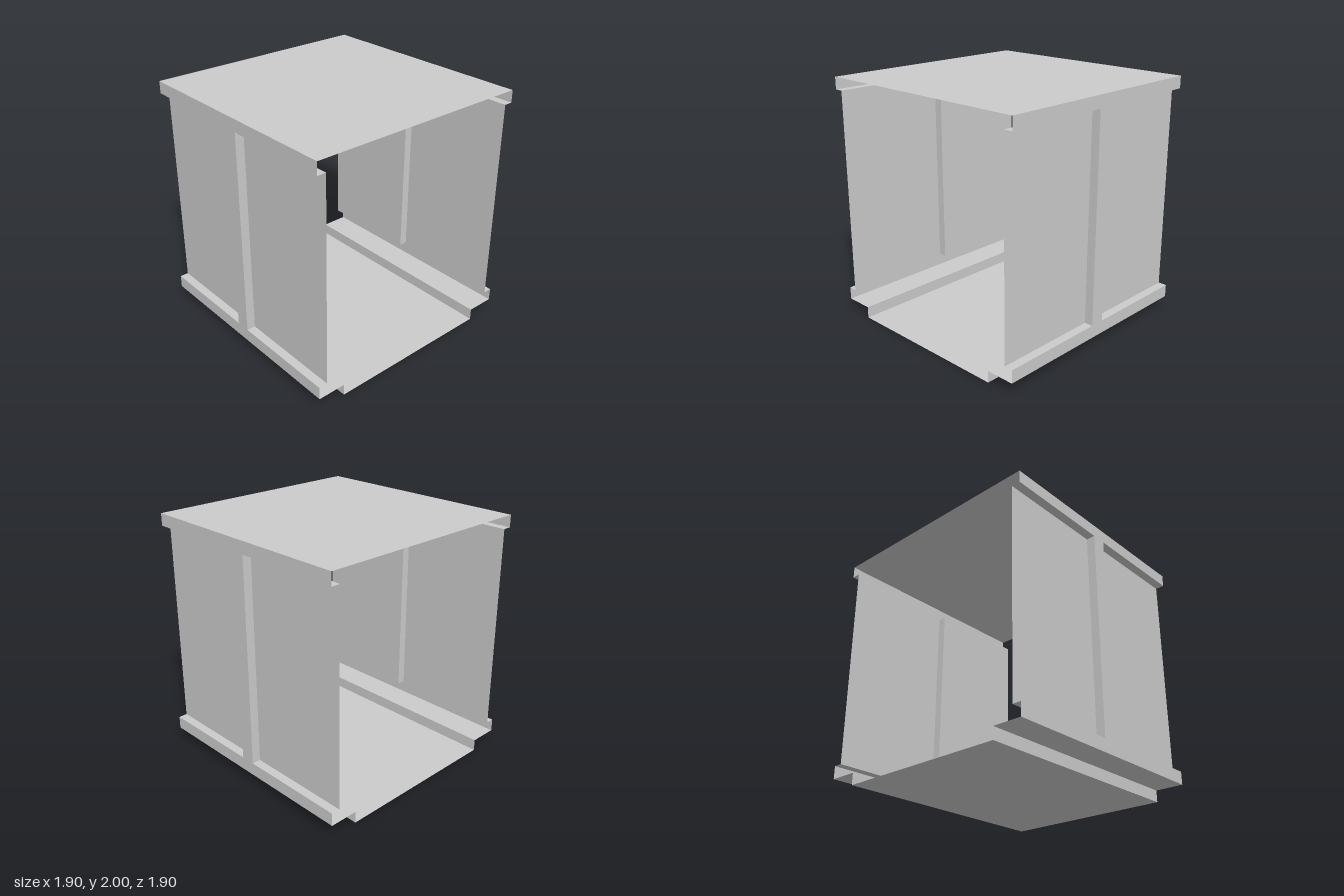
import * as THREE from 'three';

const HALF = 0.952;    // half width and half depth
const INNER = 0.88;    // x of the recessed wall panels
const FLOOR_X = 0.716; // half width of the lowered floor
const POST = 0.06;     // half width of the middle post
const RAIL_LOW = 0.095, BAY_LOW = 0.2, BAY_HIGH = 1.9, TOP = 2;

const material = new THREE.MeshStandardMaterial({ color: 0xcccccc, side: THREE.DoubleSide });

function add(parent, name, geometry) {
  const mesh = new THREE.Mesh(geometry, material);
  mesh.name = name;
  parent.add(mesh);
  return mesh;
}

// Folded sheet: an xy profile swept along z, mirrored in x when side is -1
function foldedSheet(profile, side, z0, z1) {
  const pts = profile.map(([x, y]) => [x * side, y]);
  if (side < 0) pts.reverse();
  const pos = [];
  for (let i = 0; i < pts.length - 1; i++) {
    const a = pts[i], b = pts[i + 1];
    pos.push(...a, z0, ...b, z0, ...b, z1, ...a, z0, ...b, z1, ...a, z1);
  }
  const g = new THREE.BufferGeometry();
  g.setAttribute('position', new THREE.Float32BufferAttribute(pos, 3));
  g.computeVertexNormals();
  return g;
}

// Outer face of a side: two rails joined by the middle post
function frameGeometry(side) {
  const outline = [
    [-HALF, RAIL_LOW], [HALF, RAIL_LOW], [HALF, BAY_LOW], [POST, BAY_LOW],
    [POST, BAY_HIGH], [HALF, BAY_HIGH], [HALF, TOP], [-HALF, TOP],
    [-HALF, BAY_HIGH], [-POST, BAY_HIGH], [-POST, BAY_LOW], [-HALF, BAY_LOW],
  ];
  const shape = new THREE.Shape(outline.map(([z, y]) => new THREE.Vector2(z, y)));
  return new THREE.ShapeGeometry(shape).rotateY(side * Math.PI / 2).translate(side * HALF, 0, 0);
}

export function createModel() {
  const model = new THREE.Group();
  model.name = 'openShell';

  // Roof and lowered floor
  add(model, 'roof', new THREE.PlaneGeometry(2 * HALF, 2 * HALF).rotateX(-Math.PI / 2).translate(0, TOP, 0));
  add(model, 'floor', new THREE.PlaneGeometry(2 * FLOOR_X, 2 * HALF).rotateX(Math.PI / 2));

  for (const side of [1, -1]) {
    const wall = new THREE.Group();
    wall.name = side > 0 ? 'leftWall' : 'rightWall';
    model.add(wall);

    add(wall, 'sideFrame', frameGeometry(side));

    // Step between the floor and the bottom rail
    add(wall, 'floorStep', foldedSheet(
      [[FLOOR_X, 0], [FLOOR_X, RAIL_LOW], [HALF, RAIL_LOW]], side, -HALF, HALF));

    // Recessed bays in front of and behind the post
    const bay = [[HALF, BAY_LOW], [INNER, BAY_LOW], [INNER, BAY_HIGH], [HALF, BAY_HIGH]];
    for (const end of [1, -1]) {
      const [z0, z1] = end > 0 ? [POST, HALF] : [-HALF, -POST];
      add(wall, end > 0 ? 'frontBay' : 'backBay', foldedSheet(bay, side, z0, z1));

      // Cheek of the hollow post
      const cheek = new THREE.PlaneGeometry(HALF - INNER, BAY_HIGH - BAY_LOW);
      if (end < 0) cheek.rotateY(Math.PI);
      cheek.translate(side * (HALF + INNER) / 2, (BAY_LOW + BAY_HIGH) / 2, end * POST);
      add(wall, end > 0 ? 'postFrontCheek' : 'postBackCheek', cheek);
    }
  }
  return model;
}
